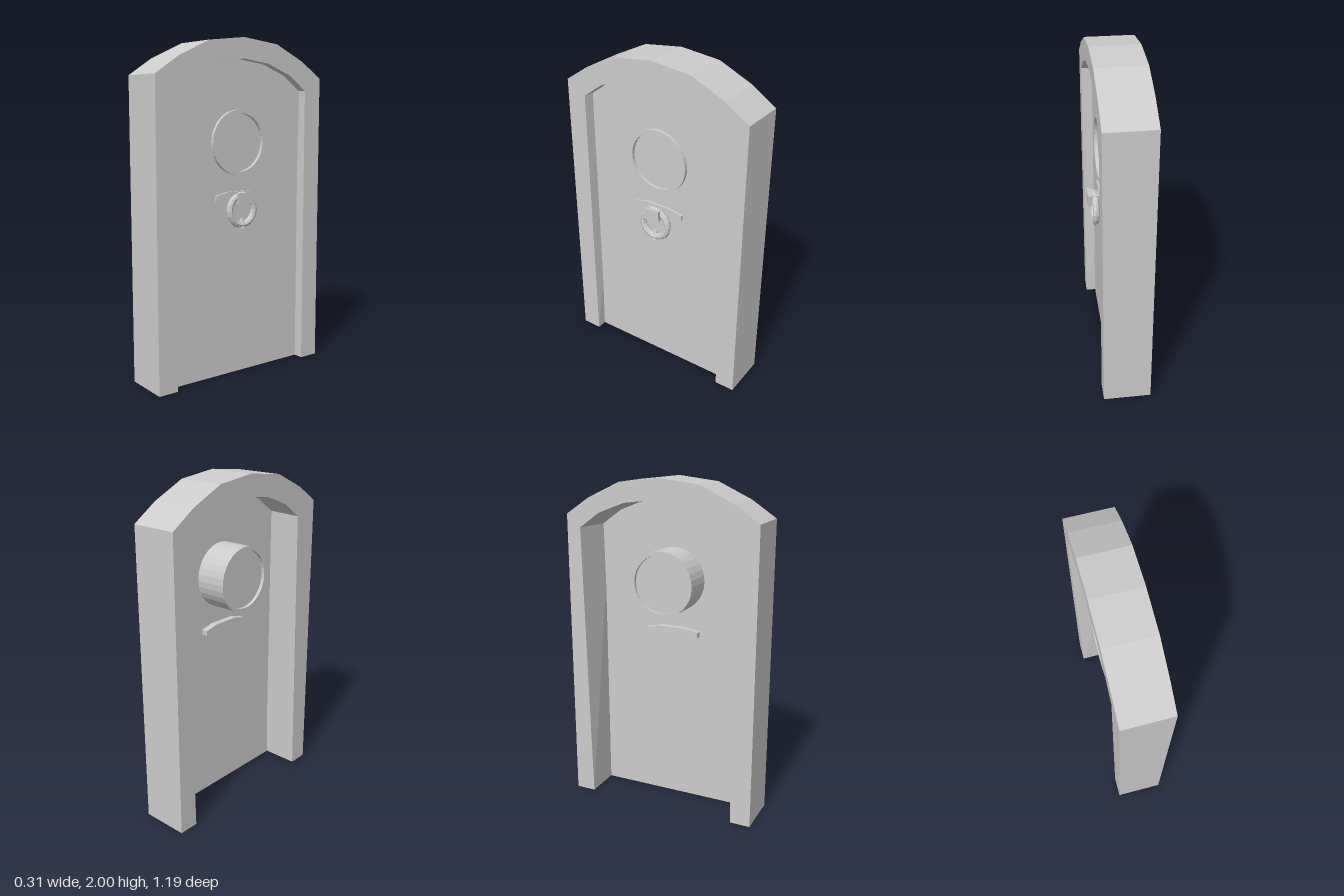
import * as THREE from 'three';

const material = new THREE.MeshStandardMaterial({ color: 0xcccccc, flatShading: true, side: THREE.DoubleSide });

function add(group, name, geometry, x = 0, y = 0, z = 0) {
  const mesh = new THREE.Mesh(geometry, material);
  mesh.name = name;
  mesh.position.set(x, y, z);
  group.add(mesh);
  return mesh;
}

// half outline [z, y] from one side up to the crown, mirrored to the other side
const mirrored = (half) => [...half, ...half.slice(0, -1).reverse().map(([z, y]) => [-z, y])];

const outer = mirrored([[0.594, 0], [0.594, 1.78], [0.446, 1.878], [0.244, 1.972], [0, 2]]);
const inner = mirrored([[0.472, 0], [0.472, 1.703], [0.347, 1.793], [0.18, 1.857], [0, 1.88]]);

const shapeOf = (points) => new THREE.Shape(points.map(([u, v]) => new THREE.Vector2(u, v)));

// shape drawn across the door, extruded along x from x0 to x1
function slab(shape, x0, x1) {
  return new THREE.ExtrudeGeometry(shape, { depth: x1 - x0, bevelEnabled: false, curveSegments: 16 })
    .rotateY(Math.PI / 2).translate(x0, 0, 0);
}

// hollow arched frame, open under the jambs; the rear opening leans slightly at the top
function frameGeometry() {
  const front = 0.13, back = -0.155, lean = -0.035;
  const sections = outer.map(([oz, oy], i) => {
    const [iz, iy] = inner[i];
    return [[front, oy, oz], [front, iy, iz], [back, iy, iz + (iy > 0 ? lean : 0)], [back, oy, oz]];
  });
  const positions = [];
  for (let i = 0; i < sections.length - 1; i++) {
    for (let j = 0; j < 4; j++) {
      const k = (j + 1) % 4;
      const a = sections[i][j], b = sections[i][k], c = sections[i + 1][k], d = sections[i + 1][j];
      positions.push(...a, ...b, ...c, ...a, ...c, ...d);
    }
  }
  const geometry = new THREE.BufferGeometry();
  geometry.setAttribute('position', new THREE.Float32BufferAttribute(positions, 3));
  geometry.computeVertexNormals();
  return geometry;
}

export function createModel() {
  const model = new THREE.Group();
  model.name = 'archedDoor';
  const panelX = 0.068;

  add(model, 'frame', frameGeometry());

  // thin door panel, tucked a little into the frame
  const panel = shapeOf(inner.map(([z, y]) => [z * 1.03, y * 1.005]));
  add(model, 'doorPanel', new THREE.ShapeGeometry(panel).rotateY(Math.PI / 2), panelX);

  // round window: long tube standing out at the rear, with a pane near each end
  const porthole = new THREE.Group();
  porthole.name = 'roundWindow';
  porthole.position.y = 1.4;
  const rim = new THREE.Shape().absarc(0, 0, 0.192, 0, Math.PI * 2);
  rim.holes.push(new THREE.Path().absarc(0, 0, 0.172, 0, Math.PI * 2, true));
  add(porthole, 'windowTube', slab(rim, -0.12, 0.09));
  add(porthole, 'windowPane', new THREE.CylinderGeometry(0.173, 0.173, 0.168, 32).rotateZ(Math.PI / 2), -0.016);
  model.add(porthole);

  // knocker: pointed plate, flared block, hanging ring and striker
  const knocker = new THREE.Group();
  knocker.name = 'knocker';
  const plate = shapeOf([[-0.165, 1.061], [-0.053, 1.04], [0.053, 1.04], [0.165, 1.061],
    [0.165, 1.093], [0.08, 1.112], [-0.08, 1.112], [-0.165, 1.093]]);
  add(knocker, 'knockerPlate', slab(plate, 0.03, 0.082));

  const block = new THREE.BoxGeometry(0.08, 0.07, 0.106);
  const p = block.attributes.position;
  for (let i = 0; i < p.count; i++) {
    if (p.getX(i) < 0) p.setXYZ(i, p.getX(i), p.getY(i) * 0.6, p.getZ(i) * 0.6);
  }
  add(knocker, 'knockerBlock', block, 0.112, 1.075);

  add(knocker, 'knockerRing', new THREE.TorusGeometry(0.089, 0.02, 8, 18).rotateY(Math.PI / 2), 0.109, 1.004);
  add(knocker, 'knockerStriker', new THREE.CylinderGeometry(0.01, 0.024, 0.056, 8), 0.107, 0.924);
  model.add(knocker);

  return model;
}
